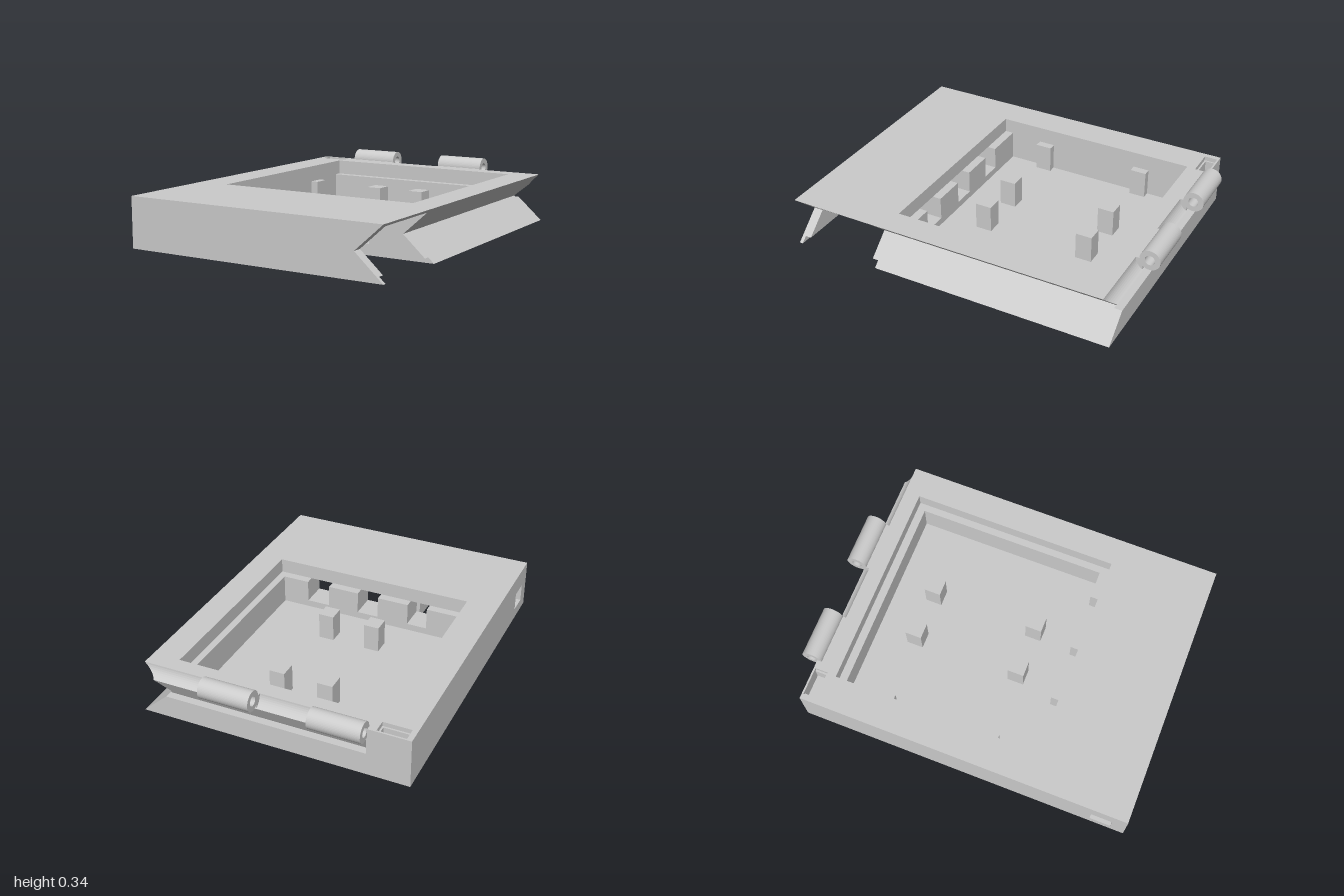
import * as THREE from 'three';

const H = 0.285, MID = H / 2, LEFT = -0.77, BACK = -0.91;
// x of the V-grooved edge at height y
const vx = (y) => 0.61 + 0.16 * Math.abs(y - MID) / MID;

export function createModel() {
  const root = new THREE.Group();
  const mat = new THREE.MeshStandardMaterial({ color: 0xcccccc });

  const add = (name, geo) => {
    const m = new THREE.Mesh(geo, mat);
    m.name = name;
    root.add(m);
    return m;
  };
  const shapeOf = (pts) => new THREE.Shape(pts.map(([a, b]) => new THREE.Vector2(a, b)));
  const box = (name, x0, x1, y0, y1, z0, z1) =>
    add(name, new THREE.BoxGeometry(x1 - x0, y1 - y0, z1 - z0)
      .translate((x0 + x1) / 2, (y0 + y1) / 2, (z0 + z1) / 2));
  // shape drawn in (z, y), extruded along x
  const alongX = (shape, x0, x1, curveSegments = 16) =>
    new THREE.ExtrudeGeometry(shape, { depth: x1 - x0, bevelEnabled: false, curveSegments })
      .rotateY(-Math.PI / 2).translate(x1, 0, 0);
  // slab whose +x end follows the V groove
  const slab = (name, x0, y0, y1, z0, z1) => {
    const pts = [[x0, y0], [vx(y0), y0]];
    if (y0 < MID && y1 > MID) pts.push([vx(MID), MID]);
    pts.push([vx(y1), y1], [x0, y1]);
    add(name, new THREE.ExtrudeGeometry(shapeOf(pts), { depth: z1 - z0, bevelEnabled: false })
      .translate(0, 0, z0));
  };

  // Tray: floor, side walls and stepped rim
  const FLOOR = 0.03, LEDGE = 0.2;
  slab('trayFloor', LEFT, 0, FLOOR, -0.73, 0.37);
  box('leftWall', LEFT, -0.585, FLOOR, H, -0.775, 0.42);
  slab('rightWall', 0.57, FLOOR, LEDGE, -0.73, 0.37);
  slab('rightRim', 0.61, LEDGE, H, -0.775, 0.42);
  slab('backWall', -0.585, 0, LEDGE, -0.775, -0.73);
  box('leftWallFoot', LEFT, -0.585, 0, FLOOR, -0.775, -0.73);
  slab('backBlock', -0.58, 0, H, -0.865, -0.775);

  // Back left corner with a small pocket in the top
  box('cornerBase', LEFT, -0.58, 0, 0.18, BACK, -0.775);
  box('cornerOuter', LEFT, -0.74, 0.18, H, BACK, -0.775);
  box('cornerInner', -0.74, -0.58, 0.18, H, -0.825, -0.775);
  box('cornerBack', -0.74, -0.58, 0.18, H, BACK, -0.9);
  box('pocketStep', -0.74, -0.73, 0.18, 0.26, -0.9, -0.825);
  box('pocketStep', -0.59, -0.58, 0.18, 0.26, -0.9, -0.825);
  box('pocketStep', -0.73, -0.59, 0.18, 0.26, -0.835, -0.825);

  // Back edge: lower lip, undercut and hinge relief arc
  box('backEnd', -0.58, -0.53, 0, H, BACK, -0.865);
  slab('backLip', -0.53, 0, 0.13, BACK, -0.865);
  const HY = 0.287, HZ = -0.942;
  const profile = [[-0.86, 0.13], [-0.865, 0.13], [-0.8716, MID]];
  for (let i = 0; i <= 8; i++) {
    const a = -1.14 + (1.13 * i) / 8;
    profile.push([HZ + 0.077 * Math.cos(a), Math.min(H, HY + 0.077 * Math.sin(a))]);
  }
  profile.push([-0.86, H], [-0.86, MID]);
  const relief = alongX(shapeOf(profile), -0.53, 0.77);
  const p = relief.attributes.position;
  for (let i = 0; i < p.count; i++) if (p.getX(i) > 0) p.setX(i, vx(p.getY(i)));
  relief.computeVertexNormals();
  add('hingeRelief', relief);

  // Hinge knuckles
  const ring = new THREE.Shape().absarc(HZ, HY, 0.058, 0, Math.PI * 2, false);
  ring.holes.push(new THREE.Path().absarc(HZ, HY, 0.028, 0, Math.PI * 2, true));
  for (const [x0, x1] of [[-0.535, -0.245], [0.08, 0.37]]) {
    add('hingeKnuckle', alongX(ring, x0, x1, 24));
    box('hingeRoot', x0, x1, 0.215, H, -0.905, -0.86);
  }

  // Mounting posts and wall pillars
  for (const z of [-0.54, 0.085]) {
    for (const x of [-0.175, 0.11]) box('post', x, x + 0.09, FLOOR, 0.187, z, z + 0.095);
    box('wallPillar', -0.585, -0.54, FLOOR, 0.19, z, z + 0.095);
  }

  // Divider between tray and battery bay, with wire openings
  const BAY = -0.45;
  slab('dividerSill', BAY, 0, FLOOR, 0.37, 0.49);
  slab('dividerSill', BAY, FLOOR, 0.07, 0.37, 0.525);
  slab('dividerSide', 0.41, 0.07, LEDGE, 0.37, 0.525);
  for (const [x0, x1] of [[BAY, -0.36], [-0.24, -0.05], [0.08, 0.27]])
    box('dividerPillar', x0, x1, 0.07, LEDGE, 0.37, 0.525);
  slab('dividerTop', BAY, LEDGE, H, 0.42, 0.525);
  box('dividerEnd', LEFT, BAY, 0, LEDGE, 0.37, 0.525);
  box('dividerEnd', LEFT, BAY, LEDGE, H, 0.42, 0.525);

  // Battery bay, open below and towards the grooved edge
  slab('bayRoof', BAY, 0.265, H, 0.525, 0.945);
  const end = shapeOf([[0.525, 0], [0.945, 0], [0.945, H], [0.525, H]]);
  end.holes.push(new THREE.Path(
    [[0.8, 0.065], [0.8, 0.17], [0.92, 0.17], [0.92, 0.065]].map(([a, b]) => new THREE.Vector2(a, b))));
  add('bayEndWithSwitchOpening', alongX(end, LEFT, BAY));
  box('bayPartition', -0.26, -0.23, FLOOR, 0.265, 0.525, 0.945);
  for (const [w, t] of [[0.525, 0.6], [0.945, 0.875]])
    add('bayRib', alongX(shapeOf([[w, FLOOR], [t, FLOOR], [w, 0.265]]), -0.23, -0.19));

  // Front wall with the lid recess underneath
  slab('frontWall', BAY, FLOOR, H, 0.945, 0.98);
  box('frontCorner', LEFT, BAY, 0, H, 0.945, 0.98);
  slab('frontFace', LEFT, 0, H, 0.98, 1);

  return root;
}
